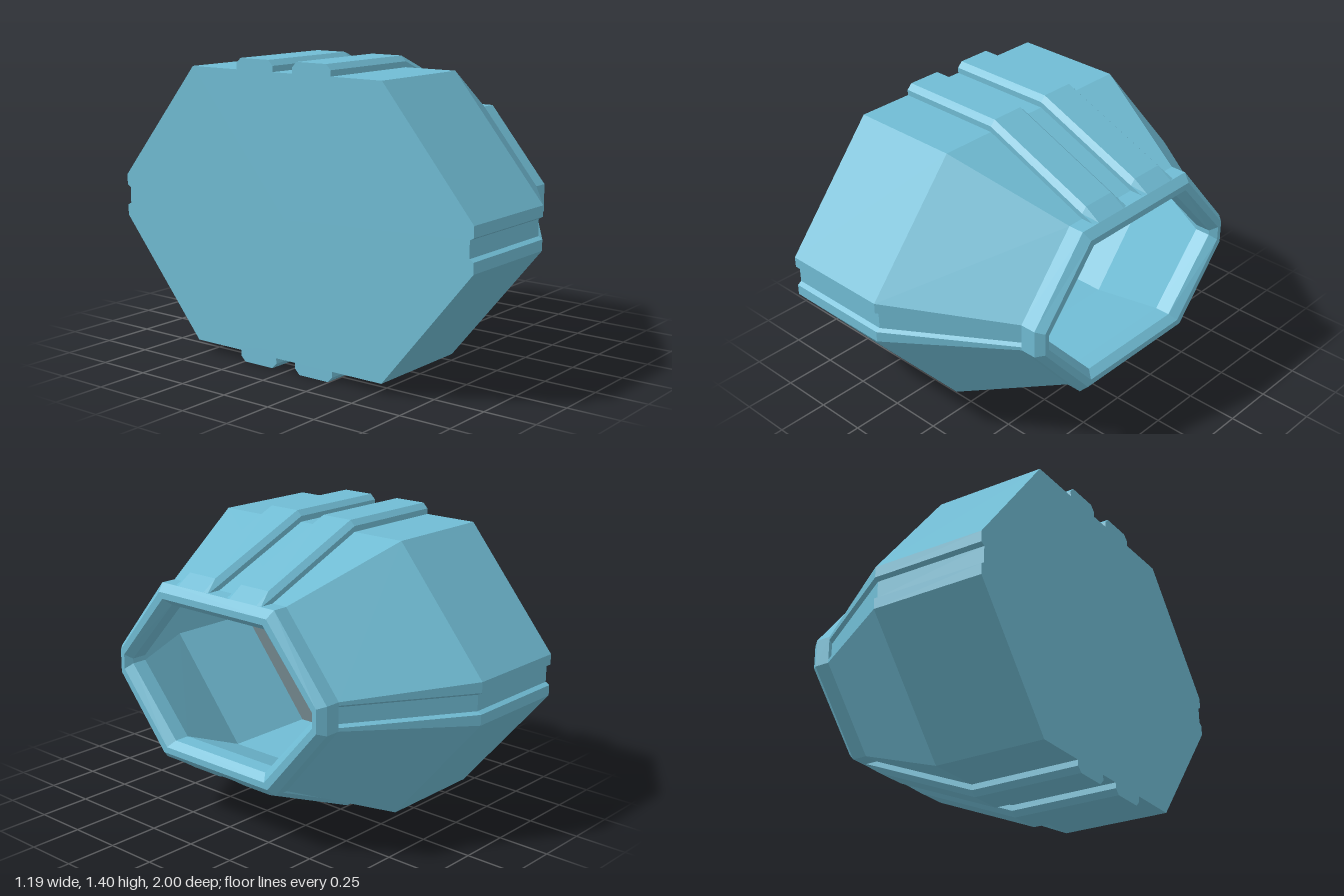
import * as THREE from 'three';

const shellMaterial = new THREE.MeshStandardMaterial({ color: 0x70bcd4, flatShading: true });
const floorMaterial = new THREE.MeshStandardMaterial({ color: 0x72868c, flatShading: true });

// Closes a quarter outline of [z, y] points (from +z up to +y) by mirroring in both axes
function mirrored(quarter) {
  const half = [...quarter, ...quarter.map(([z, y]) => [-z, y]).reverse()];
  return [...half, ...half.map(([z, y]) => [-z, -y])];
}

// Eight-sided outline: flat top and bottom, blunt tips at the sides
function octagon(height, topZ, tipZ, tipY) {
  return mirrored([[tipZ, tipY], [topZ, height]]);
}

// The same outline with a shallow groove along each tip
function groovedOctagon(height, topZ, tipZ, tipY) {
  return mirrored([[tipZ - 0.02, 0.038], [tipZ, 0.05], [tipZ, tipY], [topZ, height]]);
}

// Joins outlines placed along x, with optional fan caps
function loft(name, sections, { startCap = false, endCap = false, material = shellMaterial } = {}) {
  const positions = [];
  const rings = sections.map(([x, points]) => points.map(([z, y]) => [x, y, z]));
  const triangle = (a, b, c) => positions.push(...a, ...b, ...c);
  const count = rings[0].length;

  for (let r = 0; r < rings.length - 1; r++) {
    const a = rings[r], b = rings[r + 1];
    for (let i = 0; i < count; i++) {
      const j = (i + 1) % count;
      triangle(a[i], b[i], b[j]);
      triangle(a[i], b[j], a[j]);
    }
  }

  const cap = (ring, flip) => {
    const centre = [0, 1, 2].map(k => ring.reduce((sum, p) => sum + p[k], 0) / count);
    for (let i = 0; i < count; i++) {
      const j = (i + 1) % count;
      triangle(centre, ring[flip ? j : i], ring[flip ? i : j]);
    }
  };
  if (startCap) cap(rings[0], false);
  if (endCap) cap(rings[rings.length - 1], true);

  const geometry = new THREE.BufferGeometry();
  geometry.setAttribute('position', new THREE.Float32BufferAttribute(positions, 3));
  geometry.computeVertexNormals();
  const mesh = new THREE.Mesh(geometry, material);
  mesh.name = name;
  return mesh;
}

// Raised strip with bevelled upper edges, following the slope of the shell
function rib(name, centreZ) {
  const section = (top, base, bevel) => [
    [centreZ + 0.107, base],
    [centreZ + 0.107, top - bevel],
    [centreZ + 0.082, top],
    [centreZ - 0.082, top],
    [centreZ - 0.107, top - bevel],
    [centreZ - 0.107, base],
  ];
  return loft(name, [
    [-0.595, section(0.702, 0.62, 0.025)],
    [-0.055, section(0.702, 0.62, 0.025)],
    [0.485, section(0.475, 0.4, 0.025)],
    [0.56, section(0.425, 0.4, 0.005)],
  ], { startCap: true, endCap: true });
}

export function createModel() {
  const model = new THREE.Group();
  model.name = 'hollowHousing';
  const body = new THREE.Group();
  body.name = 'housing';
  body.position.y = 0.703;
  model.add(body);

  // Outer shell with a closed back and grooved sides
  body.add(loft('outerShell', [
    [-0.595, groovedOctagon(0.65, 0.54, 1, 0.1)],
    [-0.055, groovedOctagon(0.65, 0.54, 1, 0.1)],
    [0.485, groovedOctagon(0.425, 0.35, 0.65, 0.066)],
  ], { startCap: true }));

  // Collar around the opening, from its rear shoulder to the inner lip
  const lip = octagon(0.33, 0.29, 0.575, 0.012);
  body.add(loft('openingCollar', [
    [0.485, octagon(0.38, 0.32, 0.6, 0.05)],
    [0.485, octagon(0.425, 0.35, 0.65, 0.066)],
    [0.56, octagon(0.425, 0.35, 0.65, 0.066)],
    [0.595, octagon(0.39, 0.335, 0.62, 0.055)],
    [0.595, octagon(0.36, 0.315, 0.598, 0.035)],
    [0.56, lip],
    [0.485, lip],
  ]));

  // Cavity walls and floor
  const cavity = octagon(0.58, 0.5, 0.92, 0.07);
  body.add(loft('cavityWalls', [[0.485, lip], [-0.055, cavity], [-0.55, cavity]]));
  body.add(loft('cavityFloor', [[-0.55, cavity]], { endCap: true, material: floorMaterial }));

  // Paired ribs on the top and the bottom
  for (const side of ['top', 'bottom']) {
    const pair = new THREE.Group();
    pair.name = side + 'Ribs';
    pair.add(rib(side + 'RibFront', 0.163), rib(side + 'RibBack', -0.163));
    if (side === 'bottom') pair.rotation.x = Math.PI;
    body.add(pair);
  }
  return model;
}
